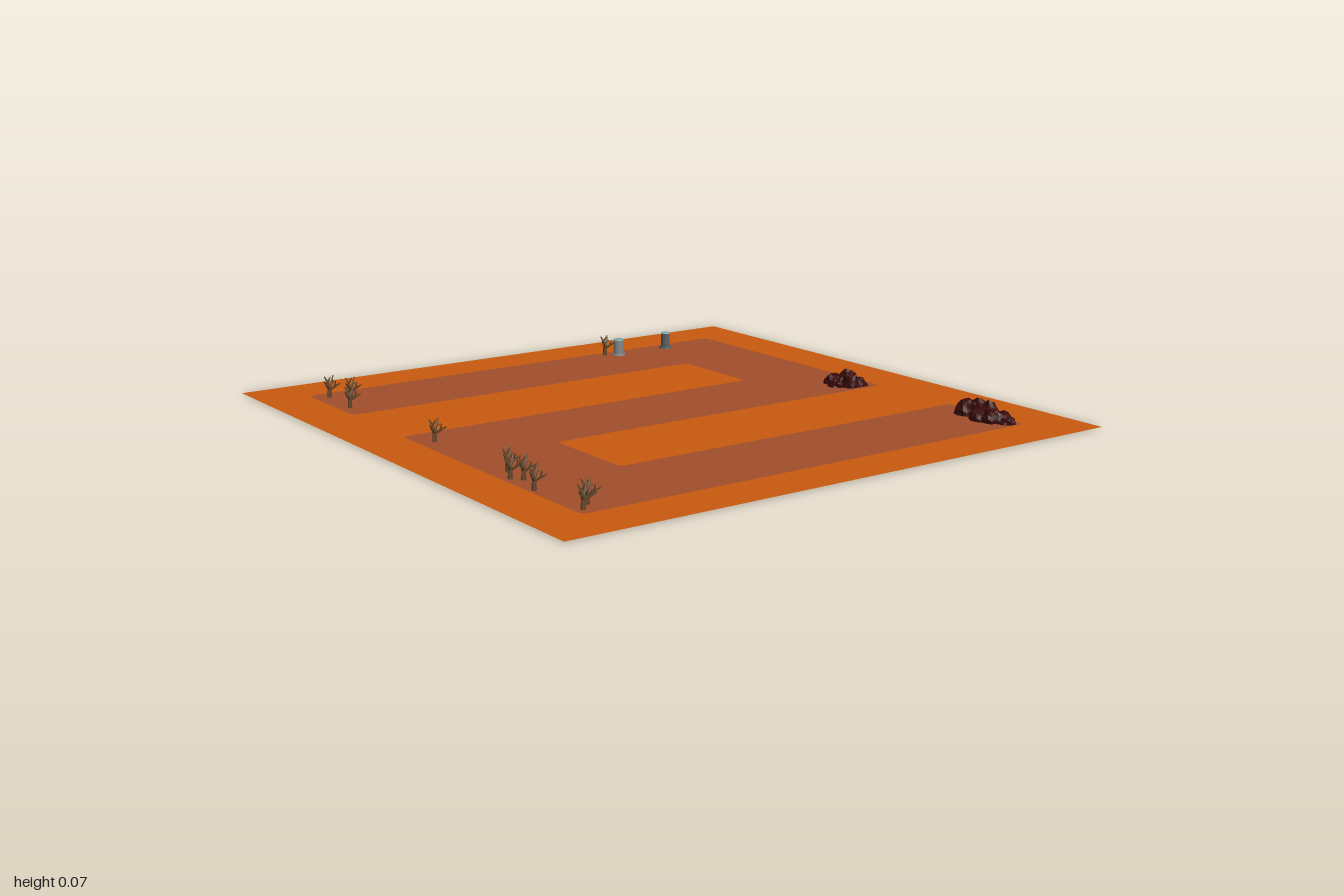
import * as THREE from 'three';

const mat = (name, color, extra = {}) => {
  const m = new THREE.MeshStandardMaterial({ color, ...extra });
  m.name = name;
  return m;
};

function add(parent, name, geometry, material, x = 0, y = 0, z = 0) {
  const mesh = new THREE.Mesh(geometry, material);
  mesh.name = name;
  mesh.position.set(x, y, z);
  parent.add(mesh);
  return mesh;
}

// Winding path outline as x, z corners
const PATH = [
  [-0.835, -0.83], [0.83, -0.83], [0.83, 0.163], [-0.485, 0.163],
  [-0.485, 0.5], [0.83, 0.5], [0.83, 0.83], [-0.835, 0.83],
  [-0.835, -0.167], [0.5, -0.167], [0.5, -0.505], [-0.835, -0.505],
];

// Draw a closed outline with rounded corners (z is flipped for the later rotation)
function roundedOutline(target, corners, r) {
  const pts = corners.map(([x, z]) => new THREE.Vector2(x, -z));
  pts.forEach((p, i) => {
    const prev = pts[(i + pts.length - 1) % pts.length];
    const next = pts[(i + 1) % pts.length];
    const a = p.clone().add(prev.clone().sub(p).setLength(r));
    const b = p.clone().add(next.clone().sub(p).setLength(r));
    if (i === 0) target.moveTo(a.x, a.y);
    else target.lineTo(a.x, a.y);
    target.quadraticCurveTo(p.x, p.y, b.x, b.y);
  });
  target.closePath();
  return target;
}

// Tapered stick between two points
function limb(parent, name, a, b, r0, r1, material) {
  const from = new THREE.Vector3(...a), to = new THREE.Vector3(...b);
  const dir = to.clone().sub(from);
  const mesh = add(parent, name, new THREE.CylinderGeometry(r1, r0, dir.length(), 5), material);
  mesh.position.copy(from).add(to).multiplyScalar(0.5);
  mesh.quaternion.setFromUnitVectors(new THREE.Vector3(0, 1, 0), dir.normalize());
}

// Bare tree: trunk, three branches and a twig on each
function makeTree(material) {
  const tree = new THREE.Group();
  tree.name = 'bareTree';
  limb(tree, 'trunk', [0, 0, 0], [0, 0.042, 0], 0.008, 0.006, material);
  const branches = [
    { base: [0, 0.036, 0], mid: [0.014, 0.05, -0.012], tip: [0.027, 0.07, -0.025], twig: [0.03, 0.053, -0.014] },
    { base: [0, 0.032, 0], mid: [-0.014, 0.047, 0.012], tip: [-0.027, 0.064, 0.022], twig: [-0.027, 0.048, 0.027] },
    { base: [0, 0.028, 0], mid: [0.013, 0.04, 0.013], tip: [0.028, 0.052, 0.026], twig: [0.014, 0.061, 0.021] },
    { base: [0, 0.038, 0], mid: [-0.004, 0.054, -0.004], tip: [-0.012, 0.073, -0.01], twig: [0.004, 0.073, 0.004] },
  ];
  for (const { base, mid, tip, twig } of branches) {
    limb(tree, 'branch', base, mid, 0.005, 0.004, material);
    limb(tree, 'branchTip', mid, tip, 0.004, 0.002, material);
    limb(tree, 'twig', mid, twig, 0.003, 0.0015, material);
  }
  return tree;
}

// Jagged boulder: icosphere with bumpy radius, flattened underneath
function boulderGeometry(r, height, seed) {
  const g = new THREE.IcosahedronGeometry(1, 2);
  const p = g.attributes.position;
  const v = new THREE.Vector3();
  for (let i = 0; i < p.count; i++) {
    v.fromBufferAttribute(p, i);
    const k = 1 + 0.13 * Math.sin(v.x * 9 + seed) * Math.cos(v.z * 8 + seed * 2) + 0.07 * Math.sin(v.y * 11 + seed);
    p.setXYZ(i, v.x * k * r, Math.max(0, v.y * k * height), v.z * k * r);
  }
  g.computeVertexNormals();
  return g;
}

export function createModel() {
  const model = new THREE.Group();
  model.name = 'canyonMap';
  const double = { side: THREE.DoubleSide };
  const sand = mat('orange sand', 0xc85a0e, double);
  const dirt = mat('brown dirt', 0xa24f2c, double);
  const wood = mat('dry wood', 0x66492c, { flatShading: true });
  const rock = mat('dark red rock', 0x3a0909, { flatShading: true });
  const stone = mat('grey stone', 0x85898a, { flatShading: true });
  const slate = mat('dark stone', 0x5c6266, { flatShading: true });
  const cap = mat('teal stone', 0x7ba3a5, { flatShading: true });

  // Ground sheet with the path inlaid in it
  const level = 0.003;
  const ground = new THREE.Shape([[-1, -1], [1, -1], [1, 1], [-1, 1]].map(([x, y]) => new THREE.Vector2(x, y)));
  ground.holes.push(roundedOutline(new THREE.Path(), PATH, 0.025));
  const path = roundedOutline(new THREE.Shape(), PATH, 0.025);
  for (const [name, shape, material] of [['ground', ground, sand], ['path', path, dirt]]) {
    add(model, name, new THREE.ShapeGeometry(shape, 4).rotateX(-Math.PI / 2), material, 0, level, 0);
  }

  // Bare trees along the edges
  const treeSpots = [
    [-0.785, -0.775], [-0.737, -0.715], [-0.797, -0.6], [-0.785, -0.055],
    [-0.778, 0.362], [-0.812, 0.43], [-0.786, 0.46], [-0.817, 0.565],
    [-0.773, 0.762], [-0.807, 0.795], [0.34, -0.797],
  ];
  const tree = makeTree(wood);
  for (const [x, z] of treeSpots) {
    const copy = tree.clone();
    copy.position.set(x, 0, z);
    model.add(copy);
  }

  // Boulder heaps: x, z, radius, height
  const heaps = [
    [[0.72, 0.05, 0.034, 0.035], [0.705, 0.085, 0.034, 0.03], [0.745, 0.09, 0.036, 0.05],
      [0.765, 0.12, 0.032, 0.032], [0.73, 0.122, 0.03, 0.055]],
    [[0.775, 0.635, 0.038, 0.05], [0.758, 0.71, 0.036, 0.045], [0.79, 0.675, 0.033, 0.06], [0.79, 0.72, 0.035, 0.06],
      [0.762, 0.755, 0.032, 0.04], [0.79, 0.775, 0.033, 0.04], [0.788, 0.797, 0.028, 0.025]],
  ];
  heaps.forEach((stones, h) => {
    const heap = new THREE.Group();
    heap.name = 'boulderHeap';
    model.add(heap);
    stones.forEach(([x, z, r, height], i) => {
      add(heap, 'boulder', boulderGeometry(r, height, i * 1.7 + h * 4), rock, x, i % 2 ? 0 : level + 0.001, z);
    });
  });

  // Stone pillars: plinth, shaft and pale cap
  for (const [x, width, material] of [[0.386, 0.02, stone], [0.6, 0.017, slate]]) {
    const pillar = new THREE.Group();
    pillar.name = 'stonePillar';
    pillar.position.set(x, 0, -0.775);
    model.add(pillar);
    add(pillar, 'plinth', new THREE.CylinderGeometry(0.024, 0.026, 0.009, 10), material, 0, 0.0045, 0);
    add(pillar, 'shaft', new THREE.CylinderGeometry(width, width, 0.049, 10), material, 0, 0.0335, 0);
    add(pillar, 'cap', new THREE.CylinderGeometry(width * 0.8, width, 0.004, 10), cap, 0, 0.06, 0);
  }
  return model;
}
